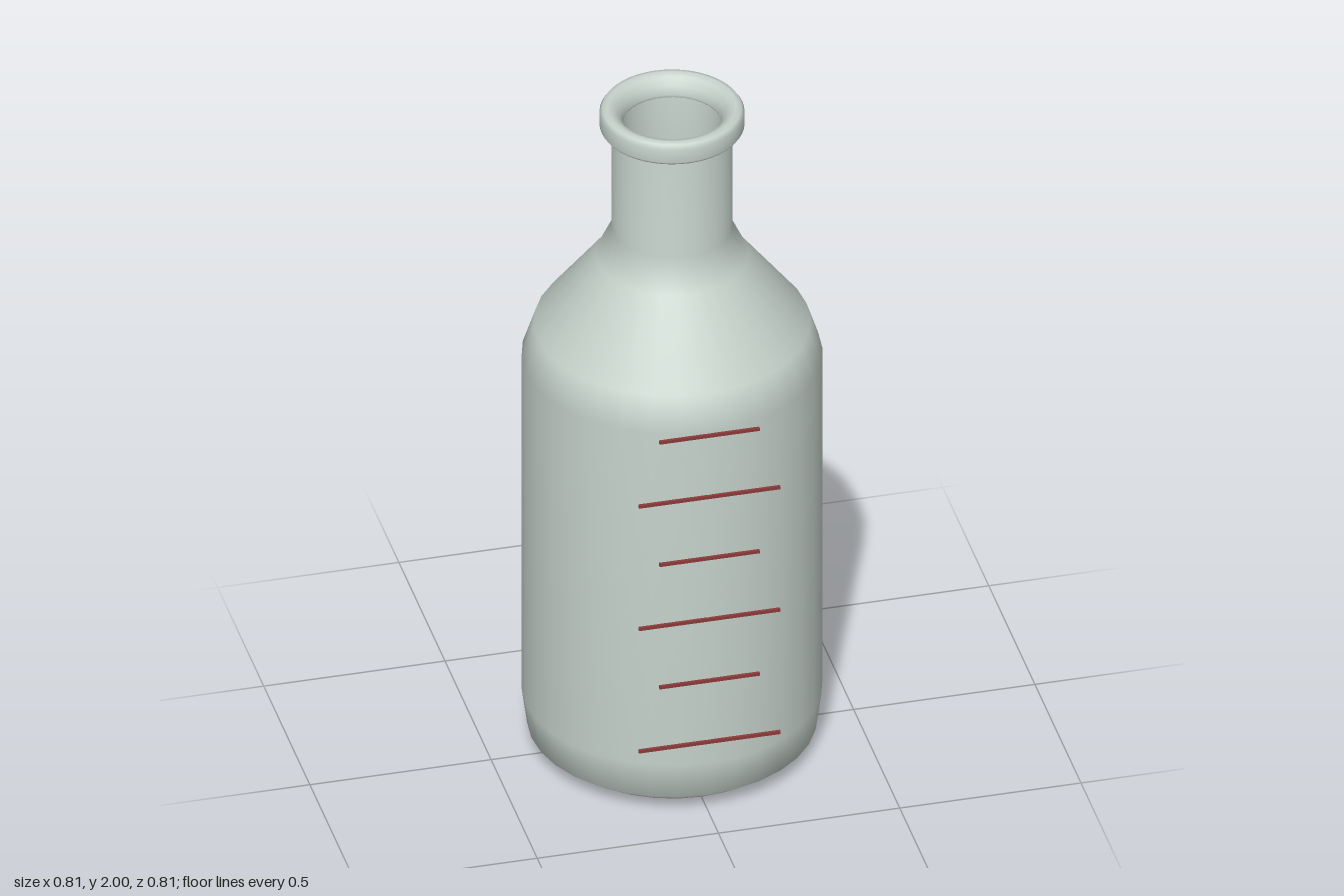
import * as THREE from 'three';

const glass = new THREE.MeshStandardMaterial({ color: 0xc6d2cb });
glass.name = 'pale grey green glass';
const ink = new THREE.MeshStandardMaterial({ color: 0x8c3a3a });
ink.name = 'dark red ink';

const CENTRE_Z = -0.004;

function lathe(name, profile, segments) {
  const points = profile.map(([r, y]) => new THREE.Vector2(r, y));
  const mesh = new THREE.Mesh(new THREE.LatheGeometry(points, segments), glass);
  mesh.name = name;
  mesh.position.z = CENTRE_Z;
  return mesh;
}

export function createModel() {
  const model = new THREE.Group();
  model.name = 'graduatedBottle';

  // Hollow body: up the outside, over the mouth and down the inside
  model.add(lathe('bottleBody', [
    [0, 0], [0.3, 0], [0.325, 0.004], [0.388, 0.05], [0.403, 0.16],
    [0.403, 1.215], [0.37, 1.315], [0.205, 1.53], [0.162, 1.62], [0.162, 1.96],
    [0.135, 1.96], [0.135, 1.62], [0.175, 1.52], [0.345, 1.3], [0.378, 1.2],
    [0.378, 0.16], [0.36, 0.07], [0.31, 0.03], [0, 0.03],
  ], 32));

  // Rounded lip, closed around the mouth
  model.add(lathe('lip', [
    [0.135, 1.94], [0.16, 1.936], [0.188, 1.936], [0.194, 1.944], [0.194, 1.984],
    [0.186, 1.996], [0.172, 2], [0.155, 1.994], [0.138, 1.975], [0.131, 1.95], [0.135, 1.94],
  ], 48));

  // Measuring marks, long and short in turn
  for (let i = 0; i < 6; i++) {
    const width = i % 2 === 0 ? 0.39 : 0.276;
    const mark = new THREE.Mesh(new THREE.BoxGeometry(width, 0.009, 0.008), ink);
    mark.name = i % 2 === 0 ? 'longMark' : 'shortMark';
    mark.position.set(0, 0.23 + i * 0.195, 0.402);
    model.add(mark);
  }
  return model;
}
